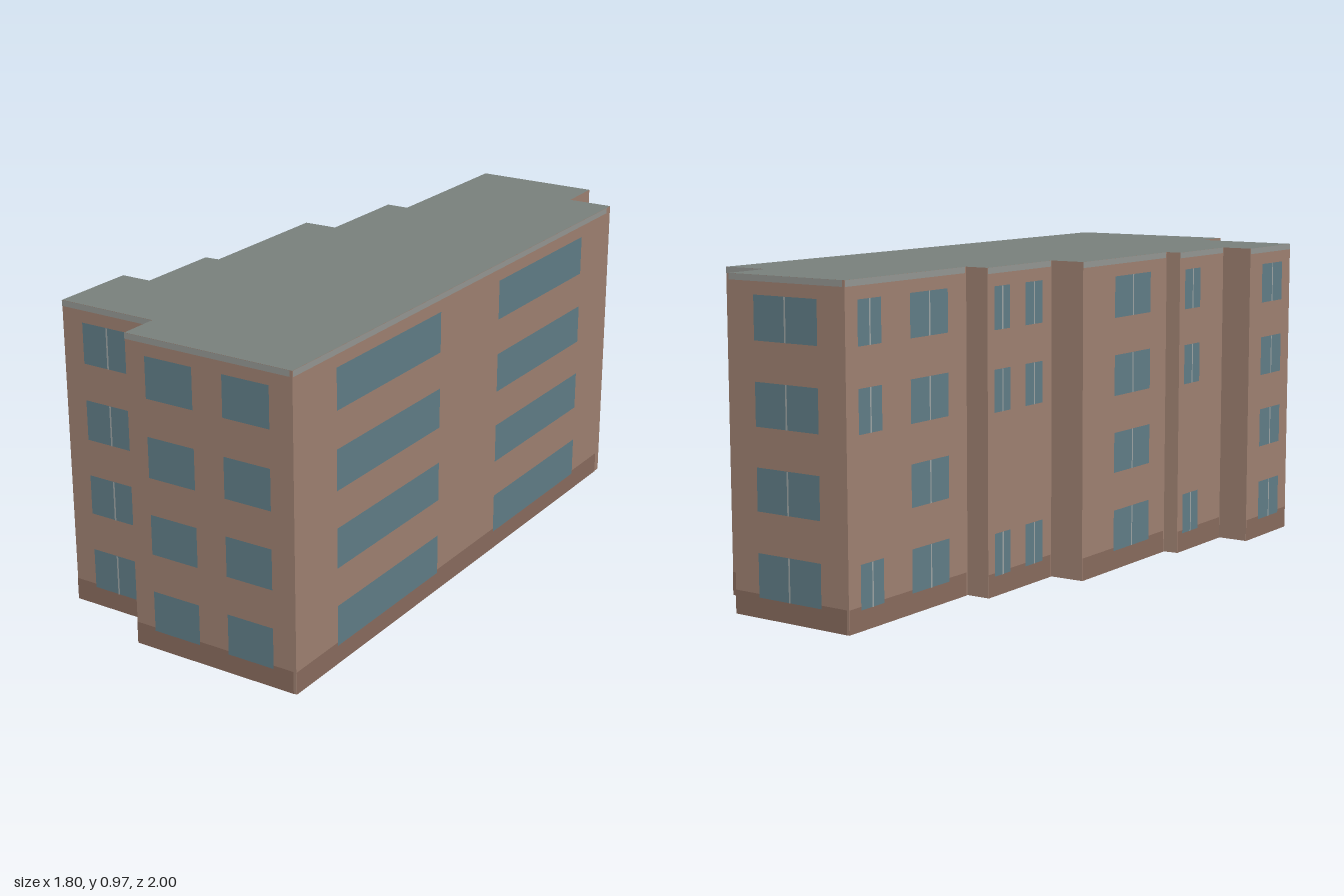
import * as THREE from 'three';

const HEIGHT = 0.97;
const mat = (color) => new THREE.MeshStandardMaterial({ color, side: THREE.DoubleSide });
const sheet = (color) => new THREE.MeshStandardMaterial({ color });

// window rows, bottom and top of each storey
const ROWS = [[0.06, 0.188], [0.307, 0.432], [0.547, 0.673], [0.788, 0.915]];
const ALL = [0, 1, 2, 3];
const SKIP = [0, 2, 3]; // narrow windows leave out the first upper floor

// footprint corners [x, z]; each wall runs on to the next corner
// windows: [start, end along the wall, storeys, has centre bar]
const WALLS = [
  { at: [-0.26, 0.995], windows: [[0.109, 0.404, ALL], [0.591, 0.887, ALL]] },
  { at: [0.895, -0.53], windows: [[0.2, 0.68, SKIP, true]] },
  { at: [0.775, -0.62] },
  { at: [0.865, -0.745], windows: [[0.22, 0.77, ALL, true]] },
  { at: [0.535, -1], windows: [[0.09, 0.275, SKIP, true], [0.51, 0.83, ALL, true]] },
  { at: [0.205, -0.565] },
  { at: [0.145, -0.61], windows: [[0.09, 0.33, SKIP, true], [0.57, 0.84, SKIP, true]] },
  { at: [-0.055, -0.345] },
  { at: [-0.145, -0.41], windows: [[0.36, 0.79, ALL, true]] },
  { at: [-0.44, -0.02] },
  { at: [-0.48, -0.045], windows: [[0.1, 0.45, SKIP, true]] },
  { at: [-0.65, 0.18] },
  { at: [-0.73, 0.12], windows: [[0.28, 0.78, ALL, true]] },
  { at: [-0.9, 0.345], windows: [[0.225, 0.77, ALL, true]] },
  { at: [-0.635, 0.55] },
  { at: [-0.71, 0.65], windows: [[0.122, 0.41, ALL], [0.59, 0.867, ALL]] },
];

export function createModel() {
  const model = new THREE.Group();
  const wallMat = mat(0xa28474);
  const roofMat = mat(0x7a827e);
  const baseMat = sheet(0x8c6e60);
  const trimMat = sheet(0x989a96);
  const glassMat = sheet(0x63808a);
  const barMat = sheet(0xa0a8a8);

  WALLS.forEach(({ at: [x, z], windows }, i) => {
    const [nx, nz] = WALLS[(i + 1) % WALLS.length].at;
    const length = Math.hypot(nx - x, nz - z);

    // local x runs along the wall, local z points outwards
    const wall = new THREE.Group();
    wall.name = 'wall' + (i + 1);
    wall.position.set(x, 0, z);
    wall.rotation.y = Math.atan2(z - nz, nx - x);
    model.add(wall);

    const panel = (name, material, x0, x1, y0, y1, depth) => {
      const mesh = new THREE.Mesh(new THREE.PlaneGeometry(x1 - x0, y1 - y0), material);
      mesh.position.set((x0 + x1) / 2, (y0 + y1) / 2, depth);
      mesh.name = name;
      wall.add(mesh);
    };

    panel('wallSurface', wallMat, 0, length, 0, HEIGHT, 0);
    if (!windows) return;

    // plinth and roof edge strip on the main walls
    panel('plinth', baseMat, 0, length * 0.985, 0, 0.07, 0.0015);
    panel('roofEdge', trimMat, 0, length * 0.985, 0.952, HEIGHT, 0.0015);

    for (const [from, to, rows, bar] of windows) {
      for (const row of rows) {
        const [y0, y1] = ROWS[row];
        const a = from * length, b = to * length, mid = (a + b) / 2;
        panel('windowPane', glassMat, a, b, y0, y1, 0.003);
        if (bar) panel('windowBar', barMat, mid - 0.003, mid + 0.003, y0, y1, 0.0045);
      }
    }
  });

  // flat roof over the stepped footprint
  const outline = new THREE.Shape(WALLS.map(({ at: [x, z] }) => new THREE.Vector2(x, -z)));
  const roof = new THREE.Mesh(new THREE.ShapeGeometry(outline).rotateX(-Math.PI / 2), roofMat);
  roof.position.y = HEIGHT;
  roof.name = 'roof';
  model.add(roof);

  return model;
}
